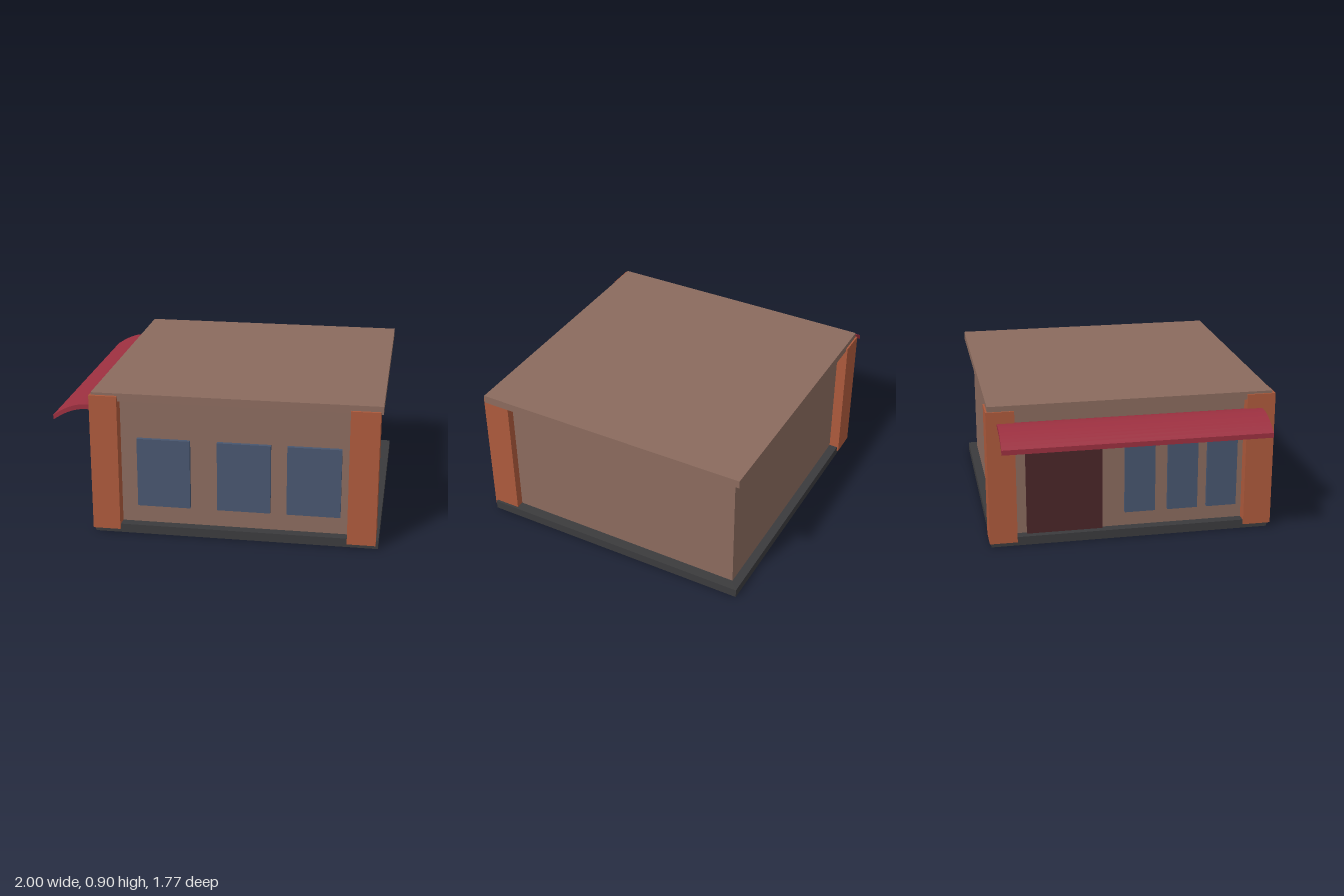
import * as THREE from 'three';

const mat = (color) => new THREE.MeshStandardMaterial({ color });

export function createModel() {
  const model = new THREE.Group();
  model.name = 'shop';
  const wallMat = mat(0x8b6b5e), baseMat = mat(0x3b3b3d), pillarMat = mat(0xad5a3c);
  const glassMat = mat(0x48566f), doorMat = mat(0x4a2629), awningMat = mat(0x9c3040);

  // Box given by its extents along each axis
  function box(name, material, [x0, x1], [y0, y1], [z0, z1]) {
    const mesh = new THREE.Mesh(new THREE.BoxGeometry(x1 - x0, y1 - y0, z1 - z0), material);
    mesh.position.set((x0 + x1) / 2, (y0 + y1) / 2, (z0 + z1) / 2);
    mesh.name = name;
    model.add(mesh);
  }

  // Main body
  box('base', baseMat, [-0.74, 1], [0, 0.055], [-0.875, 0.867]);
  box('walls', wallMat, [-0.68, 0.935], [0.055, 0.85], [-0.82, 0.805]);
  box('roof', wallMat, [-0.74, 1], [0.85, 0.9], [-0.875, 0.867]);

  // Corner pillars; the fourth corner is left bare
  box('frontRightPillar', pillarMat, [-0.75, -0.58], [0.027, 0.885], [0.71, 0.885]);
  box('frontLeftPillar', pillarMat, [0.812, 0.985], [0.025, 0.867], [0.71, 0.883]);
  box('backRightPillar', pillarMat, [-0.75, -0.58], [0.025, 0.867], [-0.885, -0.715]);

  // Front windows
  for (const x of [-0.477, 0.015, 0.44]) {
    box('frontWindow', glassMat, [x, x + 0.326], [0.17, 0.605], [0.79, 0.83]);
  }

  // Door and windows under the awning
  box('door', doorMat, [-0.7, -0.67], [0.055, 0.68], [-0.65, -0.18]);
  for (const z of [-0.04, 0.23, 0.48]) {
    box('sideWindow', glassMat, [-0.705, -0.67], [0.15, 0.6], [z, z + 0.19]);
  }

  // Arched awning: curved strip pulled along z
  const shape = new THREE.Shape();
  shape.moveTo(-1, 0.69);
  shape.lineTo(-1, 0.72);
  shape.bezierCurveTo(-0.92, 0.775, -0.84, 0.812, -0.74, 0.793);
  shape.lineTo(-0.67, 0.77);
  shape.lineTo(-0.67, 0.74);
  shape.lineTo(-0.74, 0.763);
  shape.bezierCurveTo(-0.84, 0.782, -0.92, 0.745, -1, 0.69);
  const awning = new THREE.Mesh(
    new THREE.ExtrudeGeometry(shape, { depth: 1.62, bevelEnabled: false, curveSegments: 10 }), awningMat);
  awning.position.z = -0.82;
  awning.name = 'awning';
  model.add(awning);

  return model;
}
